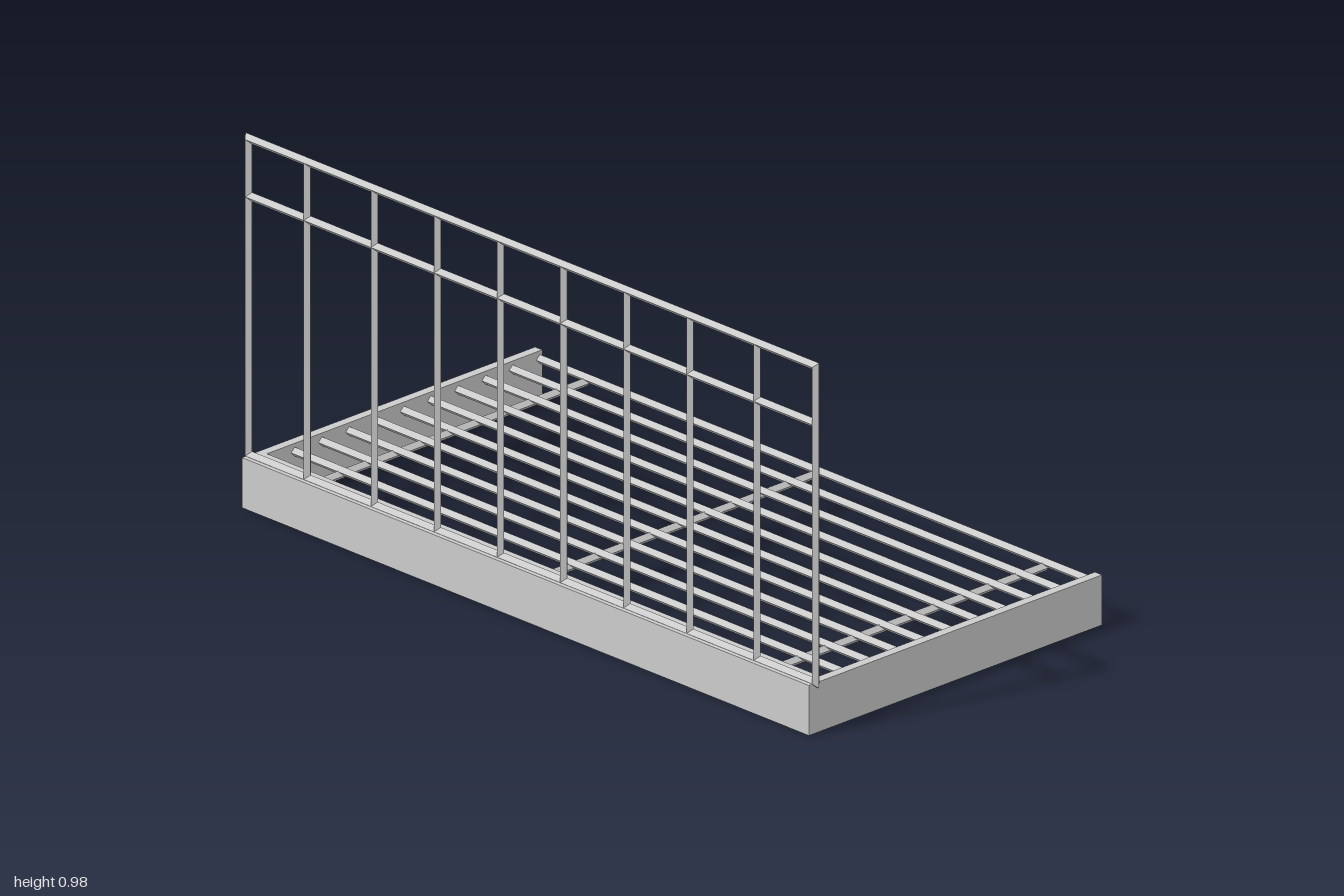
import * as THREE from 'three';

const R = 0.012; // half diagonal of every diamond bar
const material = new THREE.MeshStandardMaterial({ color: 0xcccccc, flatShading: true });

export function createModel() {
  const model = new THREE.Group();
  model.name = 'bedFrame';

  function add(name, geometry, x, y, z, parent = model) {
    const mesh = new THREE.Mesh(geometry, material);
    mesh.name = name;
    mesh.position.set(x, y, z);
    parent.add(mesh);
  }

  // square bar standing on its edge, running along one axis
  function bar(axis, length) {
    const g = new THREE.CylinderGeometry(R, R, length, 4);
    if (axis === 'x') g.rotateZ(Math.PI / 2);
    if (axis === 'z') g.rotateX(Math.PI / 2);
    return g;
  }

  // mitred rectangular loop of diamond bar, in the xy plane
  function barLoop(halfWidth, halfHeight) {
    const s = 0.1;
    const profile = [[s, -R], [s + R, 0], [s, R], [s - R, 0], [s, -R]]
      .map(([d, h]) => new THREE.Vector2(d * Math.SQRT2, h));
    const g = new THREE.LatheGeometry(profile, 4, Math.PI / 4);
    g.rotateX(Math.PI / 2);
    const p = g.attributes.position;
    for (let i = 0; i < p.count; i++) {
      p.setX(i, p.getX(i) + Math.sign(p.getX(i)) * (halfWidth - s));
      p.setY(i, p.getY(i) + Math.sign(p.getY(i)) * (halfHeight - s));
    }
    g.computeVertexNormals();
    return g;
  }

  // base boards: thick front beam and two thin sides, open at the back
  const boardH = 0.132;
  add('frontBeam', new THREE.BoxGeometry(1.976, boardH, 0.06), 0, boardH / 2, 0.465);
  for (const side of [-1, 1]) {
    add(side > 0 ? 'leftBoard' : 'rightBoard',
      new THREE.BoxGeometry(0.025, boardH, 0.93), side * 0.9755, boardH / 2, -0.03);
  }

  // long slats and the cross bars under them
  const slats = new THREE.Group();
  slats.name = 'slats';
  model.add(slats);
  for (let i = 0; i < 11; i++) add('slat', bar('x', 1.93), 0, 0.11, -0.487 + i * 0.092, slats);
  for (const x of [-0.8, 0, 0.8]) add('crossBar', bar('z', 0.925), x, 0.1, -0.025, slats);

  // tall railing along the front
  const railing = new THREE.Group();
  railing.name = 'railing';
  railing.position.z = 0.472;
  model.add(railing);
  const bottom = 0.133, top = 0.966;
  add('railingFrame', barLoop(0.988, (top - bottom) / 2), 0, (top + bottom) / 2, 0, railing);
  add('middleRail', bar('x', 1.976), 0, 0.815, 0, railing);
  for (const x of [0.11, 0.33, 0.55, 0.784]) {
    for (const side of [-1, 1]) {
      add('railingPost', bar('y', top - bottom), side * x, (top + bottom) / 2, 0, railing);
    }
  }
  return model;
}
